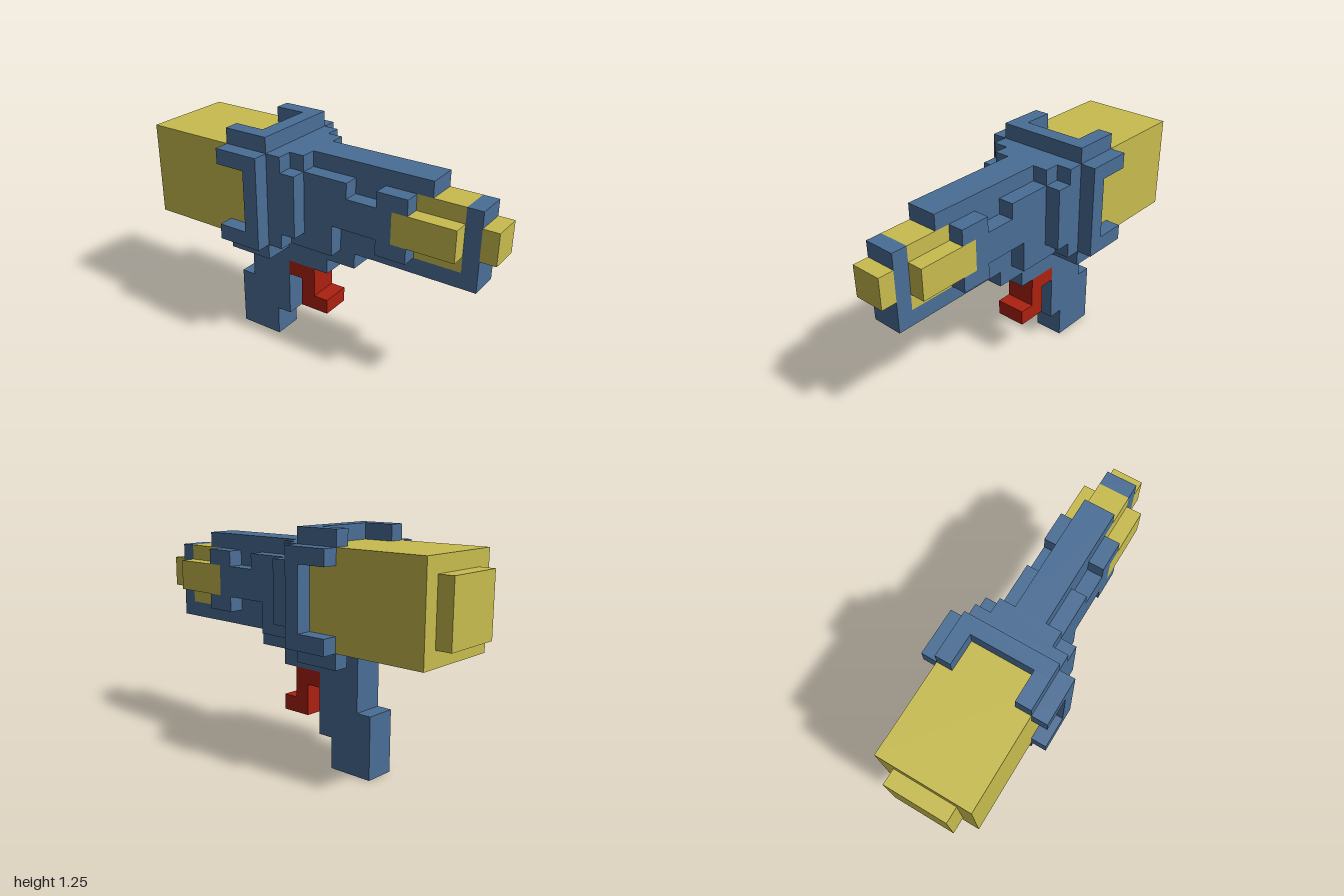
import * as THREE from 'three';

const U = 1 / 12; // one block of the grid

export function createModel() {
  const model = new THREE.Group();
  model.name = 'blockBlaster';

  const material = (name, color) => {
    const m = new THREE.MeshStandardMaterial({ color });
    m.name = name;
    return m;
  };
  const blue = material('steelBlue', 0x4a6e96);
  const yellow = material('mustardYellow', 0xc8bc4e);
  const red = material('triggerRed', 0xac2010);

  const add = (name, geometry, mat) => {
    const mesh = new THREE.Mesh(geometry, mat);
    mesh.name = name;
    model.add(mesh);
  };

  // Box given by its limits in grid blocks
  const box = (name, mat, [x0, x1], [y0, y1], [z0, z1]) => {
    const g = new THREE.BoxGeometry((x1 - x0) * U, (y1 - y0) * U, (z1 - z0) * U);
    g.translate((x0 + x1) * U / 2, (y0 + y1) * U / 2, (z0 + z1) * U / 2);
    add(name, g, mat);
  };

  const extrude = (points, depth) => {
    const shape = new THREE.Shape(points.map(([a, b]) => new THREE.Vector2(a * U, b * U)));
    return new THREE.ExtrudeGeometry(shape, { depth: depth * U, bevelEnabled: false });
  };

  // Side profile of [z, y] points, extruded across x
  const profile = (name, mat, points, x0, x1) => {
    const g = extrude(points, x1 - x0);
    g.rotateY(-Math.PI / 2);
    g.translate(x1 * U, 0, 0);
    add(name, g, mat);
  };

  // Grip with the stepped underside of the frame
  profile('grip', blue, [
    [-6, 0], [-3, 0], [-3, 2], [-2, 2], [-2, 6], [1, 6], [1, 7],
    [3, 7], [3, 8], [-5, 8], [-5, 4], [-6, 4],
  ], -1, 1);

  // Trigger
  profile('trigger', red, [
    [-1, 3], [1, 3], [1, 4], [0, 4], [0, 6], [-2, 6], [-2, 5], [-1, 5],
  ], -1, 1);

  // Barrel wraps round the yellow muzzle band
  profile('barrel', blue, [
    [0, 8], [11, 8], [11, 13], [10, 13], [10, 9], [7, 9], [7, 13],
    [8, 13], [8, 14], [0, 14],
  ], -1, 1);
  box('muzzleBand', yellow, [-1, 1], [9, 13], [7, 10]);
  box('muzzleTip', yellow, [-1, 1], [10, 12], [11, 12]);

  // Side rails and muzzle cheeks
  for (const s of [-1, 1]) {
    const [x0, x1] = s > 0 ? [1, 2] : [-2, -1];
    profile('sideRail', blue, [
      [0, 8], [2, 8], [2, 10], [5, 10], [5, 9], [7, 9], [7, 10], [6, 10],
      [6, 12], [7, 12], [7, 13], [5, 13], [5, 12], [3, 12], [3, 13], [0, 13],
    ], x0, x1);
    box('muzzleCheek', yellow, [x0, x1], [10, 12], [6, 10]);
  }

  // Stepped collar behind the barrel
  const collar = extrude([
    [-2, 8], [2, 8], [2, 9], [3, 9], [3, 13], [2, 13],
    [2, 14], [-2, 14], [-2, 13], [-3, 13], [-3, 9], [-2, 9],
  ], 1);
  collar.translate(0, 0, -U);
  add('collarFront', collar, blue);
  box('collarBack', blue, [-3, 3], [8, 14], [-2, -1]);

  // Clamp plate
  const plate = extrude([
    [-3, 7], [3, 7], [3, 8], [4, 8], [4, 14], [3, 14],
    [3, 15], [-3, 15], [-3, 14], [-4, 14], [-4, 8], [-3, 8],
  ], 1);
  plate.translate(0, 0, -3 * U);
  add('clampPlate', plate, blue);

  // Clamp prongs gripping the four corners of the tank
  for (const s of [-1, 1]) {
    const outer = s > 0 ? [3, 4] : [-4, -3];
    const inner = s > 0 ? [2, 3] : [-3, -2];
    for (const [sideY, capY] of [[[13, 14], [14, 15]], [[8, 9], [7, 8]]]) {
      box('clampSideProng', blue, outer, sideY, [-5, -3]);
      box('clampCapProng', blue, inner, capY, [-5, -3]);
    }
  }

  // Rear tank and its end cap
  box('tank', yellow, [-3, 3], [8, 14], [-11, -3]);
  box('tankCap', yellow, [-2, 2], [9, 13], [-12, -11]);

  return model;
}
